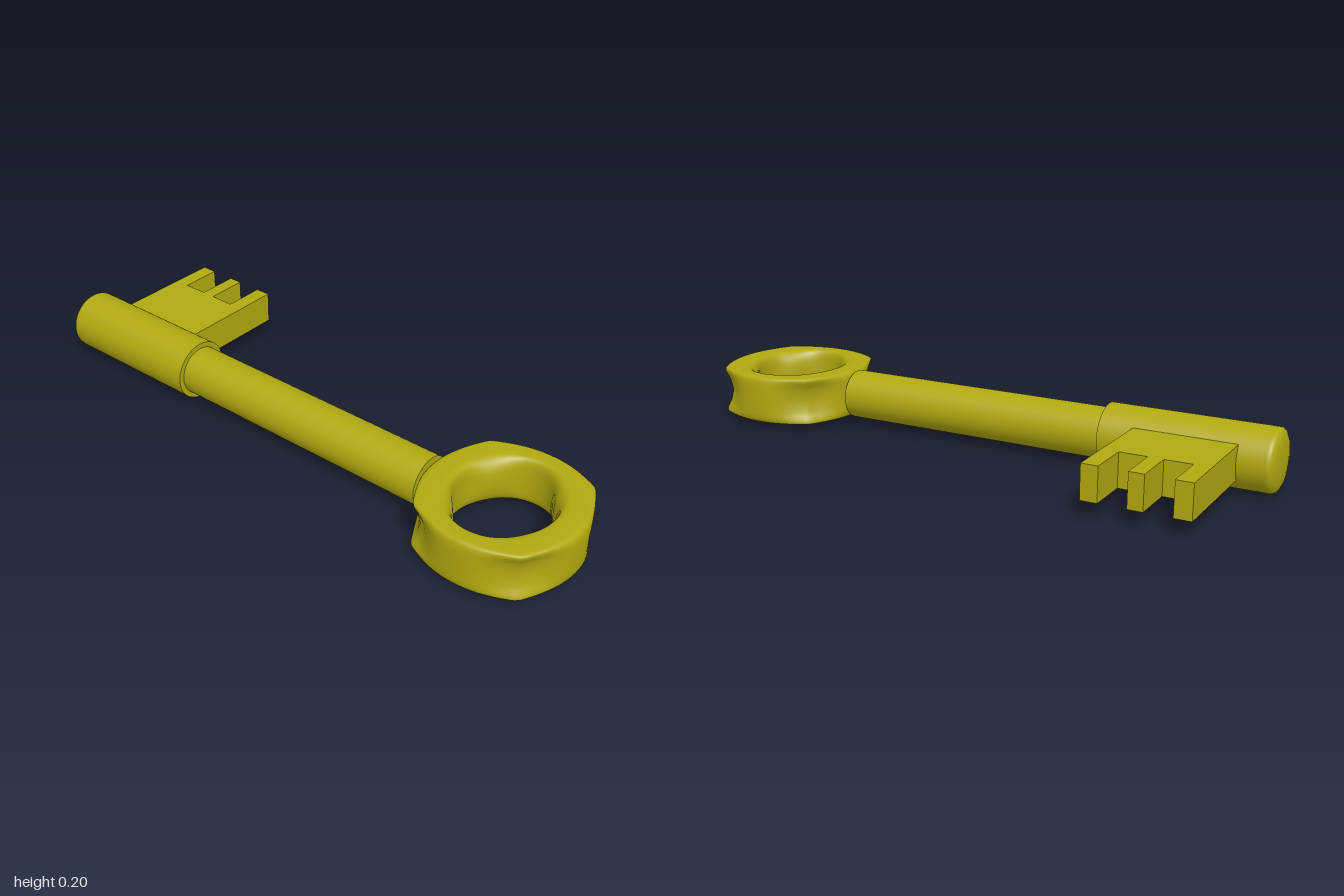
import * as THREE from 'three';

const AXIS = 0.1; // height and depth of the shaft axis
const material = new THREE.MeshStandardMaterial({ color: 0xb0a810, side: THREE.DoubleSide });

function addPart(group, name, geometry) {
  const mesh = new THREE.Mesh(geometry, material);
  mesh.name = name;
  group.add(mesh);
  return mesh;
}

// Solid turned about the shaft axis, from [x, radius] pairs
function turned(profile) {
  const points = profile.map(([x, r]) => new THREE.Vector2(r, -x));
  return new THREE.LatheGeometry(points.reverse(), 48).rotateZ(Math.PI / 2).translate(0, AXIS, AXIS);
}

// Distance from the centre to a bulged side (half width a, curvature k)
const bulge = (a, k, c, s) => (2 * a) / (c + Math.sqrt(c * c + 4 * k * a * s * s));

// Closed ring with a squarish outline whose corners are pinched in at mid height
function bowGeometry() {
  const around = 96, section = 40, halfHeight = 0.081;
  const positions = [], indices = [];
  const power = (v) => Math.sign(v) * Math.abs(v) ** 0.4;
  for (let i = 0; i < around; i++) {
    const angle = (i / around) * Math.PI * 2;
    const c = Math.abs(Math.cos(angle)), s = Math.abs(Math.sin(angle));
    const outer = Math.min(bulge(0.25, 1.43, c, s), bulge(0.253, 1.33, s, c));
    const inner = 1 / Math.hypot(c / 0.152, s / 0.183);
    const corner = (2 * c * s) ** 3;
    for (let j = 0; j < section; j++) {
      const phi = (j / section) * Math.PI * 2;
      const u = power(Math.cos(phi)), v = power(Math.sin(phi));
      const pinch = (0.033 + 0.008 * u) * corner * (1 - v * v);
      const r = (inner + outer) / 2 + ((outer - inner) / 2) * u - pinch;
      positions.push(r * Math.cos(angle), halfHeight * v, r * Math.sin(angle));
      const i2 = (i + 1) % around, j2 = (j + 1) % section;
      const a = i * section + j, b = i * section + j2;
      const d = i2 * section + j, e = i2 * section + j2;
      indices.push(a, b, d, b, e, d);
    }
  }
  const geometry = new THREE.BufferGeometry();
  geometry.setAttribute('position', new THREE.Float32BufferAttribute(positions, 3));
  geometry.setIndex(indices);
  geometry.computeVertexNormals();
  return geometry;
}

// Flat plate with three teeth, drawn as x against distance to the back
function bitGeometry() {
  const root = 0.215, tip = 0.357;
  const shape = new THREE.Shape();
  shape.moveTo(-0.885, -0.05);
  shape.lineTo(-0.56, -0.05);
  const teeth = [[-0.56, -0.613], [-0.7, -0.747], [-0.832, -0.885]];
  teeth.forEach(([x1, x2], i) => {
    if (i > 0) shape.lineTo(x1, root);
    shape.lineTo(x1, tip);
    shape.lineTo(x2, tip);
    if (i < 2) shape.lineTo(x2, root);
  });
  shape.closePath();
  return new THREE.ExtrudeGeometry(shape, { depth: 0.109, bevelEnabled: false })
    .rotateX(-Math.PI / 2).translate(0, 0.048, 0);
}

export function createModel() {
  const key = new THREE.Group();
  key.name = 'key';

  // Long thin shaft
  const shaft = new THREE.CylinderGeometry(0.082, 0.082, 0.955, 48).rotateZ(Math.PI / 2);
  addPart(key, 'shaft', shaft.translate(0.0175, AXIS, AXIS));

  // Thicker sleeve with a slightly domed tip
  addPart(key, 'sleeve', turned([
    [-1, 0], [-0.998, 0.05], [-0.993, 0.078], [-0.986, 0.093], [-0.978, 0.099], [-0.97, 0.1], [-0.45, 0.1],
  ]));
  const step = new THREE.RingGeometry(0.08, 0.1, 48).rotateY(Math.PI / 2);
  addPart(key, 'sleeveStep', step.translate(-0.45, AXIS, AXIS));

  // Toothed bit at the back
  addPart(key, 'bit', bitGeometry());

  // Ring handle
  addPart(key, 'bow', bowGeometry()).position.set(0.75, 0.102, AXIS);

  return key;
}
